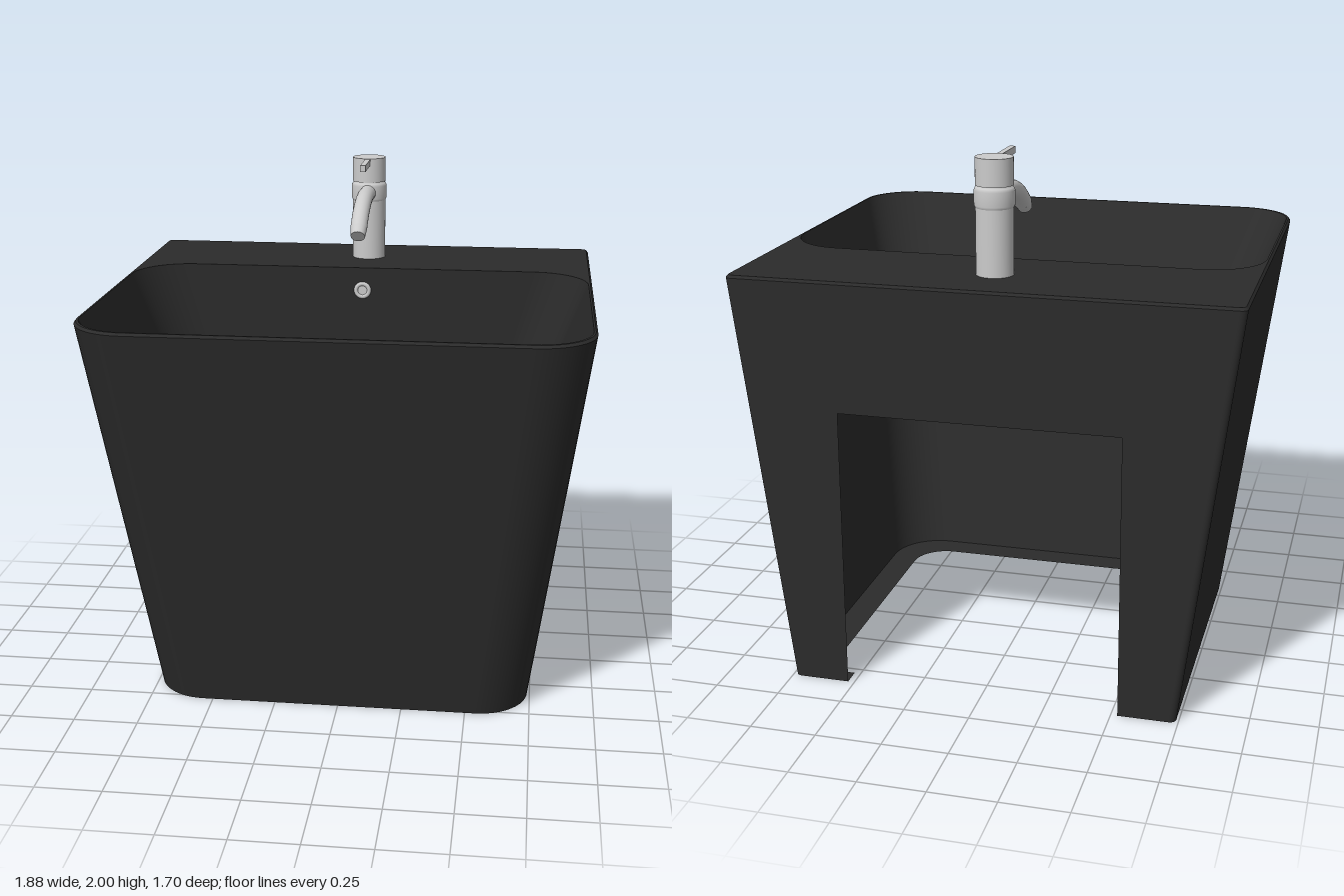
import * as THREE from 'three';

const dark = new THREE.MeshStandardMaterial({ color: 0x2b2b2b, side: THREE.DoubleSide });
const metal = new THREE.MeshStandardMaterial({ color: 0xcccccc });

const TOP = 1.575, FLOOR = 1.03, BACK = -0.85;

// Rounded rectangle as [x, z] points, from the back +x corner round the front to the back -x corner
function outline(hw, zb, zf, rb, rf, n = 12) {
  const corners = [
    [hw - rb, zb + rb, rb], [hw - rf, zf - rf, rf],
    [rf - hw, zf - rf, rf], [rb - hw, zb + rb, rb],
  ];
  const pts = [];
  corners.forEach(([cx, cz, r], k) => {
    for (let i = 0; i <= n; i++) {
      const a = (k - 1 + i / n) * Math.PI / 2;
      pts.push([cx + r * Math.cos(a), cz + r * Math.sin(a)]);
    }
  });
  return pts;
}

// Skin between outlines at given heights; rising order faces outward, falling order inward
function loft(sections, closed) {
  const n = sections[0].pts.length, pos = [], idx = [];
  for (const s of sections) for (const [x, z] of s.pts) pos.push(x, s.y, z);
  for (let s = 0; s < sections.length - 1; s++) {
    for (let i = 0; i < (closed ? n : n - 1); i++) {
      const j = (i + 1) % n, a = s * n + i, b = s * n + j;
      idx.push(a, a + n, b, b, a + n, b + n);
    }
  }
  const g = new THREE.BufferGeometry();
  g.setAttribute('position', new THREE.Float32BufferAttribute(pos, 3));
  g.setIndex(idx);
  g.computeVertexNormals();
  return g;
}

// Horizontal sheet with an optional hole
function sheet(pts, y, hole) {
  const v = (p) => p.map(([x, z]) => new THREE.Vector2(x, -z));
  const shape = new THREE.Shape(v(pts));
  if (hole) shape.holes.push(new THREE.Path(v(hole)));
  return new THREE.ShapeGeometry(shape).rotateX(-Math.PI / 2).translate(0, y, 0);
}

export function createModel() {
  const model = new THREE.Group();
  const add = (name, geo, mat, parent = model) => {
    const m = new THREE.Mesh(geo, mat);
    m.name = name;
    parent.add(m);
    return m;
  };

  // Pedestal: tapering front and sides, upright back
  const pedestal = new THREE.Group();
  pedestal.name = 'pedestal';
  model.add(pedestal);
  const foot = outline(0.74, BACK, 0.52, 0.025, 0.2);
  const shoulder = outline(0.94, BACK, 0.85, 0.025, 0.22);
  const rim = outline(0.932, BACK + 0.008, 0.842, 0.02, 0.212);
  const ySh = TOP - 0.01;
  add('outerWall', loft([{ y: 0, pts: foot }, { y: ySh, pts: shoulder }], false), dark, pedestal);
  add('rimBevel', loft([{ y: ySh, pts: shoulder }, { y: TOP, pts: rim }], true), dark, pedestal);

  // Back wall with the service opening, facing -z
  const cutX = 0.525, cutY = 1.085;
  const back = new THREE.Shape([
    [-0.715, 0], [-cutX, 0], [-cutX, cutY], [cutX, cutY],
    [cutX, 0], [0.715, 0], [0.915, ySh], [-0.915, ySh],
  ].map(([x, y]) => new THREE.Vector2(x, y)));
  add('backWall', new THREE.ShapeGeometry(back).rotateY(Math.PI).translate(0, 0, BACK), dark, pedestal);

  // Flat flange round the foot, open at the back
  const inner = outline(0.63, BACK + 0.07, 0.41, 0.01, 0.14).reverse();
  add('footFlange', sheet([
    ...foot, [-cutX, BACK], [-cutX, BACK + 0.07], ...inner, [cutX, BACK + 0.07], [cutX, BACK],
  ], 0), dark, pedestal);

  // Deck and basin
  const mouth = outline(0.925, -0.34, 0.833, 0.22, 0.21);
  const floor = outline(0.725, -0.34, 0.49, 0.17, 0.18);
  add('deck', sheet(rim, TOP, mouth), dark);
  add('basinWall', loft([{ y: TOP, pts: mouth }, { y: FLOOR, pts: floor }], true), dark);
  add('basinFloor', sheet(floor, FLOOR), dark);

  // Drain and overflow
  const lathe = (pts, seg = 40) => new THREE.LatheGeometry(pts.map(([r, y]) => new THREE.Vector2(r, y)), seg);
  add('drain', lathe([
    [0.078, 0], [0.078, 0.006], [0.07, 0.012], [0.058, 0.012], [0.056, 0.006],
    [0.054, 0.016], [0.035, 0.021], [0, 0.023],
  ]), metal).position.set(0, FLOOR, -0.16);
  const overflow = new THREE.Group();
  overflow.name = 'overflow';
  overflow.position.set(0, 1.48, -0.34);
  model.add(overflow);
  add('overflowRing', new THREE.TorusGeometry(0.027, 0.009, 10, 32), metal, overflow);
  add('overflowSleeve', new THREE.CylinderGeometry(0.024, 0.024, 0.03, 32).rotateX(Math.PI / 2), metal, overflow)
    .position.z = -0.012;

  // Tap: column with collar and cap
  const tap = new THREE.Group();
  tap.name = 'tap';
  tap.position.set(0, 0, -0.592);
  model.add(tap);
  const column = (name, r, y0, y1) =>
    add(name, new THREE.CylinderGeometry(r, r, y1 - y0, 48), metal, tap).position.y = (y0 + y1) / 2;
  column('tapColumn', 0.069, TOP, 1.82);
  add('tapCollar', lathe([
    [0.069, 1.82], [0.074, 1.83], [0.074, 1.882], [0.069, 1.893], [0.063, 1.895], [0.063, 1.903],
  ], 48), metal, tap);
  column('tapCap', 0.069, 1.9, 2);
  add('tapLever', new THREE.BoxGeometry(0.022, 0.026, 0.24), metal, tap).position.set(0, 1.985, 0.13);

  // Curved spout with its nozzle
  const path = new THREE.CatmullRomCurve3([
    [1.855, 0.04], [1.855, 0.16], [1.843, 0.235], [1.815, 0.315], [1.775, 0.382], [1.765, 0.395],
  ].map(([y, z]) => new THREE.Vector3(0, y, z)));
  add('spout', new THREE.TubeGeometry(path, 40, 0.034, 24), metal, tap);
  const dir = new THREE.Vector3(0, -0.62, 0.785).normalize();
  const nozzle = add('nozzle', new THREE.CylinderGeometry(0.029, 0.034, 0.045, 24), metal, tap);
  nozzle.quaternion.setFromUnitVectors(new THREE.Vector3(0, 1, 0), dir);
  nozzle.position.set(0, 1.765, 0.395).addScaledVector(dir, 0.018);

  return model;
}
